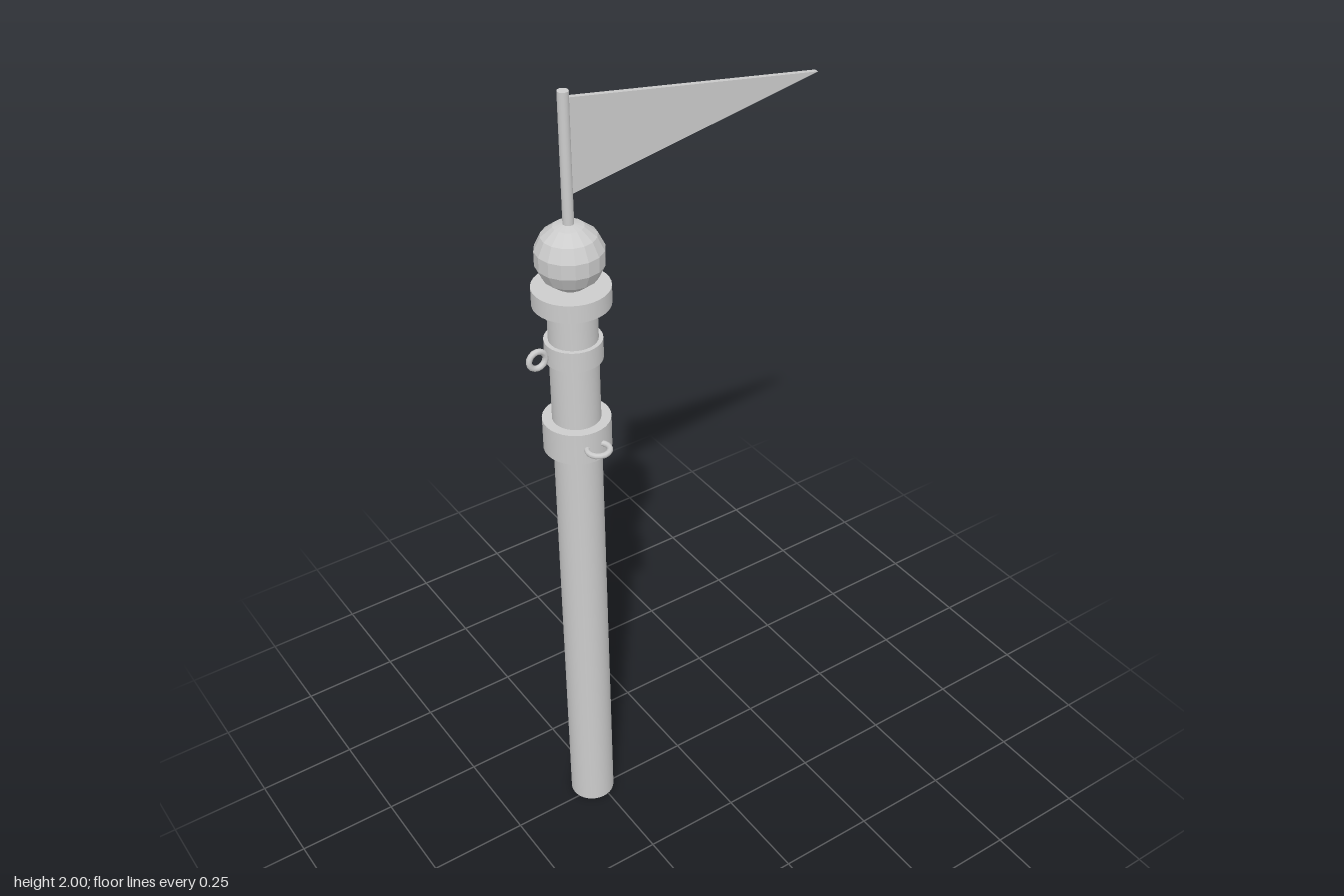
import * as THREE from 'three';

export function createModel() {
  const model = new THREE.Group();
  const grey = new THREE.MeshStandardMaterial({ color: 0xcccccc });
  grey.name = 'paleGrey';
  const facetedGrey = grey.clone();
  facetedGrey.flatShading = true;

  const add = (name, geometry, x, y, z, material = grey) => {
    const mesh = new THREE.Mesh(geometry, material);
    mesh.name = name;
    mesh.position.set(x, y, z);
    model.add(mesh);
    return mesh;
  };

  // Everything round shares one upright axis
  const X = -0.265, Z = -0.018;
  const post = (name, radius, bottom, top, sides = 32) =>
    add(name, new THREE.CylinderGeometry(radius, radius, top - bottom, sides), X, (bottom + top) / 2, Z);

  post('pole', 0.056, 0, 1.52);
  post('lowerCollar', 0.079, 1.13, 1.21);
  post('upperCollar', 0.066, 1.37, 1.42);
  post('cap', 0.088, 1.51, 1.553);
  post('flagStaff', 0.0125, 1.68, 2, 16);

  // Faceted ball
  add('ball', new THREE.SphereGeometry(0.079, 16, 7), X, 1.626, Z, facetedGrey);

  // Eyelets: one upright on the right, one lying flat at the front
  add('sideEyelet', new THREE.TorusGeometry(0.021, 0.007, 8, 16), -0.358, 1.395, Z);
  const frontEyelet = add('frontEyelet', new THREE.TorusGeometry(0.026, 0.007, 8, 16), X, 1.17, 0.072);
  frontEyelet.rotation.x = Math.PI / 2;

  // Triangular pennant
  const outline = new THREE.Shape([
    new THREE.Vector2(-0.256, 1.77),
    new THREE.Vector2(0.384, 1.88),
    new THREE.Vector2(-0.256, 1.985),
  ]);
  const pennant = new THREE.ExtrudeGeometry(outline, { depth: 0.012, bevelEnabled: false });
  add('pennant', pennant, 0, 0, Z - 0.006);

  return model;
}
